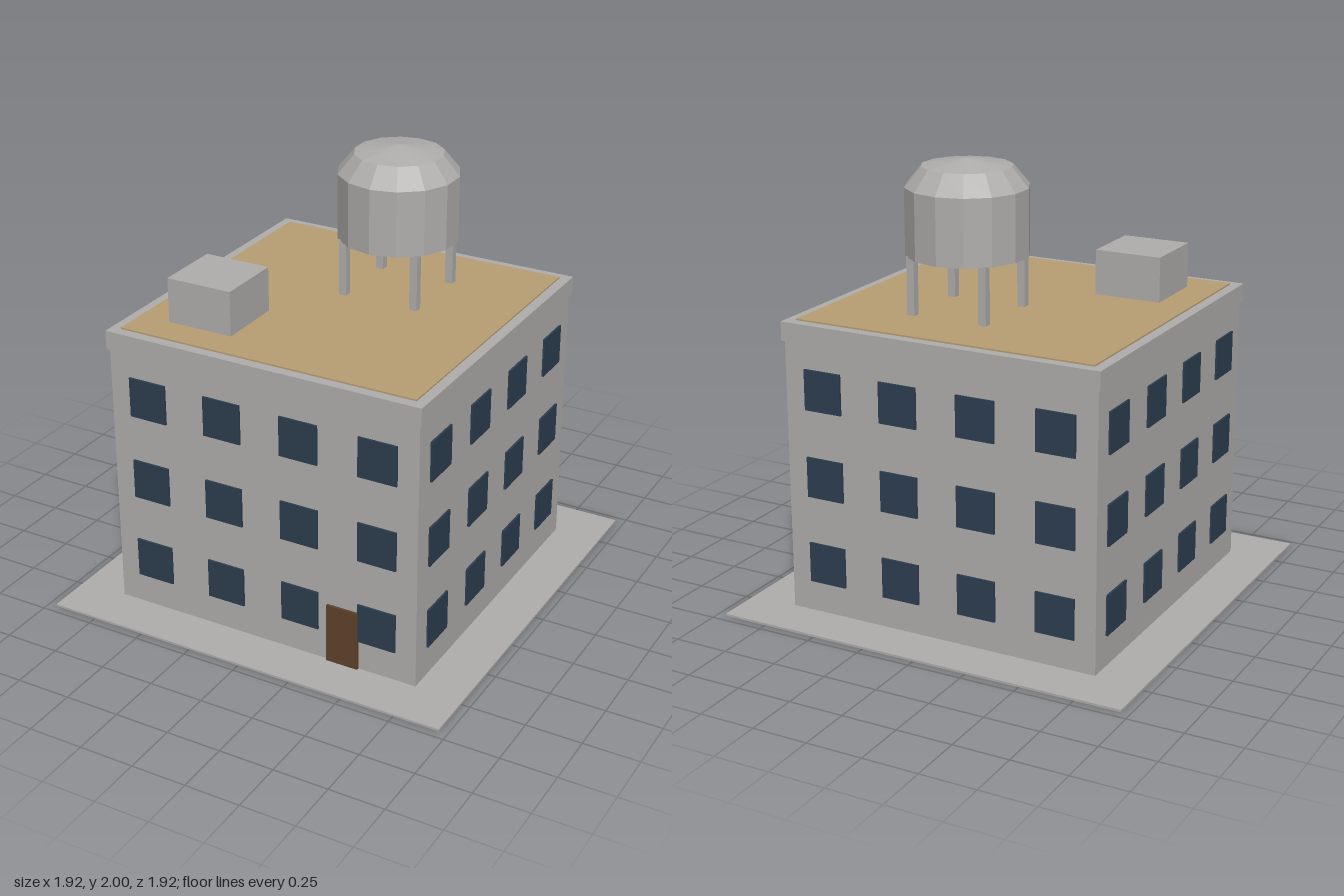
import * as THREE from 'three';

export function createModel() {
  const model = new THREE.Group();
  model.name = 'apartmentBuilding';

  const material = (name, color) => {
    const m = new THREE.MeshStandardMaterial({ color });
    m.name = name;
    return m;
  };
  const concrete = material('concreteGrey', 0xb0aeac);
  const glass = material('windowBlue', 0x2c3e50);
  const roofing = material('roofTan', 0xb89f73);
  const wood = material('doorBrown', 0x5f432b);

  // Box standing on the height y
  const box = (name, mat, [w, h, d], [x, y, z], parent = model) => {
    const mesh = new THREE.Mesh(new THREE.BoxGeometry(w, h, d), mat);
    mesh.name = name;
    mesh.position.set(x, y + h / 2, z);
    parent.add(mesh);
    return mesh;
  };

  // Building shell
  box('groundSlab', concrete, [1.92, 0.01, 1.92], [0, 0, 0]);
  box('walls', concrete, [1.482, 1.235, 1.482], [0, 0.01, 0]);
  box('parapet', concrete, [1.504, 0.085, 1.504], [0, 1.24, 0]);
  box('roofCover', roofing, [1.41, 0.007, 1.41], [0, 1.325, 0]);
  box('roofHut', concrete, [0.31, 0.21, 0.31], [-0.402, 1.325, 0.402]);
  box('door', wood, [0.15, 0.288, 0.014], [0.393, 0, 0.747]);

  // Four sides, each with three rows of four windows
  for (let side = 0; side < 4; side++) {
    const facade = new THREE.Group();
    facade.name = 'windowsSide' + (side + 1);
    facade.rotation.y = side * Math.PI / 2;
    for (let row = 0; row < 3; row++) {
      for (let col = 0; col < 4; col++) {
        box('window', glass, [0.18, 0.183, 0.009],
          [-0.555 + col * 0.37, 0.15 + row * 0.397, 0.7455], facade);
      }
    }
    model.add(facade);
  }

  // Water tank on four legs
  const tower = new THREE.Group();
  tower.name = 'waterTower';
  tower.position.set(0.123, 0, -0.246);
  model.add(tower);
  for (const x of [-0.174, 0.174]) {
    for (const z of [-0.174, 0.174]) {
      box('tankLeg', concrete, [0.036, 0.265, 0.036], [x, 1.325, z], tower);
    }
  }

  // Fourteen-sided faceted tank with a shoulder and a shallow cone top
  const profile = [[0, 1.585], [0.27, 1.585], [0.27, 1.88], [0.198, 1.968], [0, 2]]
    .map(([r, y]) => new THREE.Vector2(r, y));
  const tankGeometry = new THREE.LatheGeometry(profile, 14).toNonIndexed();
  tankGeometry.computeVertexNormals();
  const tank = new THREE.Mesh(tankGeometry, concrete);
  tank.name = 'tank';
  tower.add(tank);

  return model;
}
